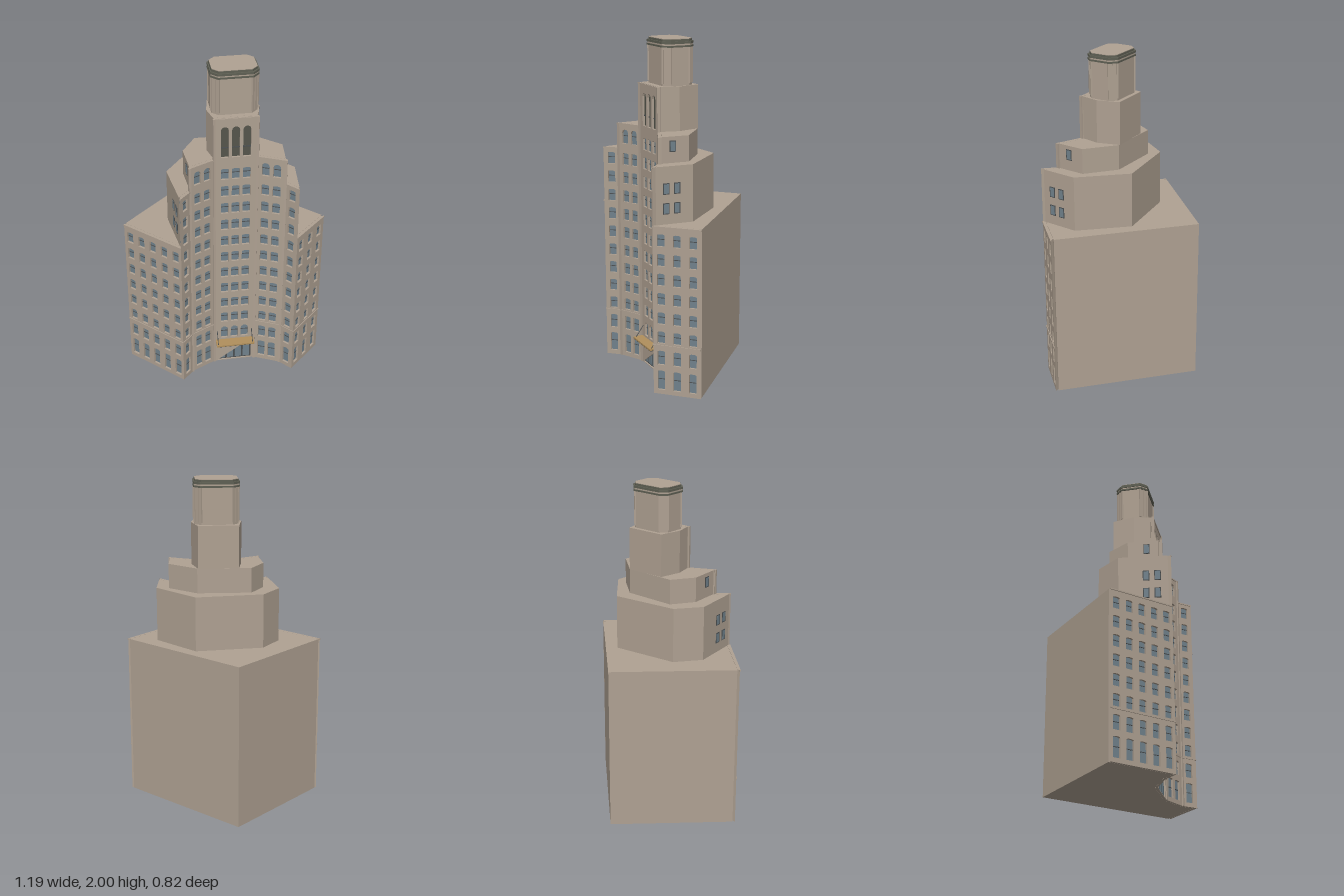
import * as THREE from 'three';

const mat = (name, color) => {
  const m = new THREE.MeshStandardMaterial({ color });
  m.name = name;
  return m;
};

export function createModel() {
  const stone = mat('stone', 0xafa192);
  const glass = mat('windowGlass', 0x71828c);
  const frame = mat('darkFrame', 0x4c5052);
  const louvre = mat('belfryLouvre', 0x55564c);
  const trim = mat('capTrim', 0x5f6054);
  const bronze = mat('canopyBronze', 0xb08f5c);

  const model = new THREE.Group();
  model.name = 'steppedTower';
  const D = 0.014; // window recess depth

  const add = (parent, name, geo, material, x = 0, y = 0, z = 0) => {
    const m = new THREE.Mesh(geo, material);
    m.name = name;
    m.position.set(x, y, z);
    parent.add(m);
    return m;
  };
  const box = (parent, name, material, w, h, d, x, y, z) =>
    add(parent, name, new THREE.BoxGeometry(w, h, d), material, x, y, z);

  // Vertical prism over an outline of [x, z] points
  const prism = (name, pts, y0, y1, material) => {
    const shape = new THREE.Shape(pts.map(([x, z]) => new THREE.Vector2(x, -z)));
    const geo = new THREE.ExtrudeGeometry(shape, { depth: y1 - y0, bevelEnabled: false });
    geo.rotateX(-Math.PI / 2);
    return add(model, name, geo, material, 0, y0, 0);
  };

  // Pull in the edges flagged with 1, so that window panels can stand in front
  const inset = (pts) => {
    const n = pts.length;
    const lines = pts.map(([x, z, flag], i) => {
      const [bx, bz] = pts[(i + 1) % n];
      const l = Math.hypot(bx - x, bz - z);
      const d = [(bx - x) / l, (bz - z) / l];
      const o = flag ? D + 0.001 : 0;
      return { p: [x + d[1] * o, z - d[0] * o], d };
    });
    return lines.map((b, i) => {
      const a = lines[(i + n - 1) % n];
      const cross = a.d[0] * b.d[1] - a.d[1] * b.d[0];
      const t = ((b.p[0] - a.p[0]) * b.d[1] - (b.p[1] - a.p[1]) * b.d[0]) / cross;
      return [a.p[0] + a.d[0] * t, a.p[1] + a.d[1] * t];
    });
  };

  // Front line of the plan, from -x to +x
  const F = [[-0.59, 0.115], [-0.29, 0.407], [-0.222, 0.335], [-0.075, 0.262],
    [0.17, 0.262], [0.32, 0.332], [0.387, 0.407], [0.59, 0.208]];
  const f = (from, to) => F.slice(from, to + 1).map((p, i) => [...p, i < to - from ? 1 : 0]);

  // Stepped building masses
  prism('baseBlock', inset([...f(0, 7), [-0.042, -0.41, 0]]), 0, 1, stone);
  prism('secondTier', inset([...f(1, 6), [0.41, 0.165, 0], [0.187, -0.088, 0],
    [-0.22, -0.045, 0], [-0.33, 0.1, 0]]), 1, 1.33, stone);
  prism('thirdTier', inset([...f(2, 5), [0.335, 0.153, 0], [0.17, 0.01, 0],
    [-0.152, 0.003, 0], [-0.237, 0.137, 0]]), 1.33, 1.48, stone);
  prism('fourthTier', inset([...f(3, 4), [0.198, 0.14, 0], [0.165, 0.005, 0],
    [-0.078, 0.01, 0], [-0.103, 0.147, 0]]), 1.48, 1.735, stone);

  // Group whose x runs from a to b and whose z points outward
  const facet = (name, a, b) => {
    const g = new THREE.Group();
    g.name = name;
    g.position.set(a[0], 0, a[1]);
    g.rotation.y = Math.atan2(-(b[1] - a[1]), b[0] - a[0]);
    model.add(g);
    return g;
  };

  const opening = ({ x, y, w, h, rise }) => {
    const p = new THREE.Path();
    const top = y + h / 2 - rise;
    p.moveTo(x - w / 2, y - h / 2);
    p.lineTo(x + w / 2, y - h / 2);
    p.lineTo(x + w / 2, top);
    if (rise) p.bezierCurveTo(x + w / 2, top + rise * 1.33, x - w / 2, top + rise * 1.33, x - w / 2, top);
    p.closePath();
    return p;
  };

  // Wall panel with recessed windows; m0 and m1 mitre the back of each end
  const panel = (name, i, top, count, margin, rows, m0, m1, door) => {
    const a = F[i], b = F[i + 1];
    const L = Math.hypot(b[0] - a[0], b[1] - a[1]);
    const g = facet(name, a, b);
    const shape = new THREE.Shape();
    shape.moveTo(0, 0).lineTo(L, 0).lineTo(L, top).lineTo(0, top).closePath();
    for (const r of rows) {
      for (let k = 0; k < count; k++) {
        const x = L * (margin + (1 - 2 * margin) * (k + 0.5) / count);
        shape.holes.push(opening({ w: 0.045, rise: 0.006, ...r, x }));
      }
      if (!r.dark) box(g, 'windowRail', frame, L - 0.04, 0.004, 0.003, L / 2, r.y + 0.004, -D + 0.002);
    }
    if (door) shape.holes.push(opening({ x: L / 2, y: 0.08, w: 0.212, h: 0.15, rise: 0 }));
    const geo = new THREE.ExtrudeGeometry(shape, { depth: D, bevelEnabled: false, curveSegments: 5 });
    geo.translate(0, 0, -D);
    const p = geo.attributes.position;
    for (let v = 0; v < p.count; v++) {
      if (p.getZ(v) > -D / 2) continue;
      if (p.getX(v) < 1e-4) p.setX(v, m0);
      else if (p.getX(v) > L - 1e-4) p.setX(v, L - m1);
    }
    geo.computeVertexNormals();
    add(g, 'wallPanel', geo, stone);
    const glassTop = Math.min(top - 0.01, 1.46);
    add(g, 'glazing', new THREE.PlaneGeometry(L - 0.034, glassTop - 0.01), glass, L / 2, glassTop / 2 + 0.005, -D + 0.0008);
    // string course and coping
    for (const y of door ? [top - 0.006] : [0.297, top - 0.004])
      box(g, 'stringCourse', stone, L, 0.008, 0.006, L / 2, y, 0.002);
    return { g, L };
  };

  const floors = (n) => Array.from({ length: n }, (_, k) => ({ y: 0.346 + k * 0.1147, h: 0.072 }));
  const lower = [{ y: 0.085, h: 0.118 }, { y: 0.222, h: 0.086 }];
  const crown = { y: 1.4, h: 0.085, rise: 0.022 };

  panel('rightWing', 0, 1, 5, 0, [...lower, ...floors(6)], D, D);
  panel('leftWing', 6, 1, 3, 0, [...lower, ...floors(6)], D, D);
  panel('rightCornerBay', 1, 1.33, 1, 0, [...lower, ...floors(9)], 0.022, 0);
  panel('leftCornerBay', 5, 1.33, 1, 0, [...lower, ...floors(9)], 0, 0.022);
  panel('rightBay', 2, 1.48, 2, 0.1, [...lower, ...floors(9), crown], 0, 0);
  panel('leftBay', 4, 1.48, 2, 0.1, [...lower, ...floors(9), crown], 0, 0);
  const { g: centre, L } = panel('centreBay', 3, 1.735, 3, 0.115, [
    { y: 0.227, h: 0.088, rise: 0.02 }, ...floors(10),
    { y: 1.583, h: 0.195, rise: 0.022, dark: true }], 0, 0, true);

  // Belfry louvres behind the tall arches
  add(centre, 'belfryLouvres', new THREE.PlaneGeometry(L - 0.03, 0.23), louvre, L / 2, 1.585, -D + 0.0008);
  box(centre, 'belfryRail', frame, L - 0.04, 0.006, 0.004, L / 2, 1.545, -D + 0.003);

  // Piers where the bays meet
  for (const [i, top] of [[2, 1.48], [3, 1.735], [4, 1.735], [5, 1.48]]) {
    const s = i < 4 ? 1 : -1;
    const pier = box(model, 'pier', stone, 0.013, top, 0.016, F[i][0] - s * 0.002, top / 2, F[i][1]);
    pier.rotation.y = s * 0.25;
  }

  // Entrance doors
  box(centre, 'doorFrame', frame, 0.212, 0.15, 0.004, L / 2, 0.08, -D + 0.003);
  for (let k = 0; k < 4; k++) {
    const x = L / 2 + (k - 1.5) * 0.051;
    box(centre, 'doorGlass', glass, 0.04, 0.105, 0.003, x, 0.065, -D + 0.0055);
    box(centre, 'doorTransom', glass, 0.04, 0.02, 0.003, x, 0.135, -D + 0.0055);
  }

  // Canopy with its hanging rods
  box(model, 'canopy', bronze, 0.236, 0.01, 0.064, 0.0475, 0.166, 0.293);
  box(model, 'canopySoffit', frame, 0.226, 0.006, 0.058, 0.0475, 0.158, 0.291);
  for (const x of [-0.06, 0.155]) {
    const rod = add(model, 'canopyRod', new THREE.CylinderGeometry(0.0025, 0.0025, 0.09, 6), frame, x, 0.202, 0.288);
    rod.rotation.x = -0.63;
  }

  // Windows on the setback flanks
  const flank = (name, a, b, xs, ys) => {
    const g = facet(name, a, b);
    for (const x of xs) for (const y of ys) {
      box(g, 'windowFrame', frame, 0.038, 0.064, 0.003, x, y, 0.0012);
      box(g, 'windowGlass', glass, 0.028, 0.054, 0.003, x, y, 0.0022);
    }
  };
  flank('rightSecondFlank', [-0.33, 0.1], F[1], [0.162, 0.229], [1.09, 1.203]);
  flank('leftSecondFlank', F[6], [0.41, 0.165], [0.082, 0.147], [1.09, 1.203]);
  flank('rightThirdFlank', [-0.237, 0.137], F[2], [0.113], [1.425]);
  flank('leftThirdFlank', F[5], [0.335, 0.153], [0.083], [1.425]);

  // Lantern with chamfered corners
  const cx = 0.05, cz = 0.126;
  const octagon = (hx, hz, c) => [[-hx, hz - c], [-hx + c, hz], [hx - c, hz], [hx, hz - c],
    [hx, c - hz], [hx - c, -hz], [c - hx, -hz], [-hx, c - hz]].map(([x, z]) => [x + cx, z + cz]);
  prism('lantern', octagon(0.129, 0.094, 0.036), 1.735, 1.955, stone);
  prism('lowerCapBand', octagon(0.136, 0.101, 0.038), 1.953, 1.963, trim);
  prism('capFrieze', octagon(0.132, 0.097, 0.037), 1.963, 1.972, stone);
  prism('upperCapBand', octagon(0.136, 0.101, 0.038), 1.972, 1.985, trim);
  prism('capRim', octagon(0.128, 0.093, 0.036), 1.985, 1.997, trim);
  prism('capRoof', octagon(0.126, 0.091, 0.035), 1.997, 2, stone);

  // Ribs on the lantern corners
  for (const sx of [-1, 1]) for (const sz of [-1, 1]) for (let k = 0; k < 3; k++) {
    const t = k / 2;
    const rib = box(model, 'lanternRib', stone, 0.009, 0.205, 0.009,
      cx + sx * (0.129 - 0.036 * t), 1.85, cz + sz * (0.094 - 0.036 * (1 - t)));
    rib.rotation.y = Math.PI / 4;
  }
  return model;
}
